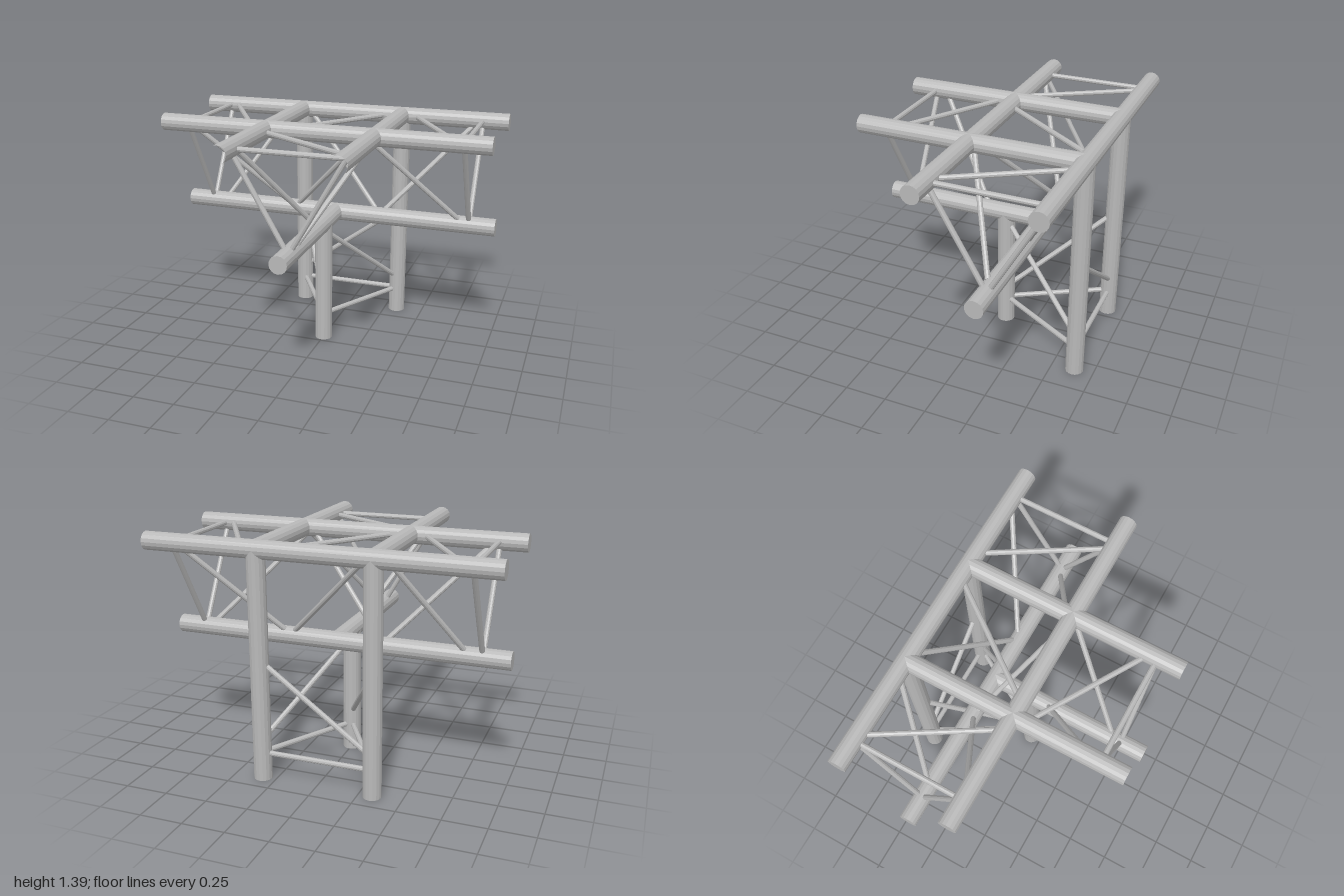
import * as THREE from 'three';

const TUBE_R = 0.053, BRACE_R = 0.0155;
const TOP = 1.333, LOW = 0.762;            // heights of the upper and lower chords
const FRONT = 0.02, BACK = -0.636, MID = -0.306, SIDE = 0.33, LEG_FRONT = -0.065;

export function createModel() {
  const model = new THREE.Group();
  model.name = 'trussJunction';
  const metal = new THREE.MeshStandardMaterial({ color: 0xb8b8b8, flatShading: true });
  metal.name = 'brushed grey metal';
  const up = new THREE.Vector3(0, 1, 0);

  // Straight rod between two points
  function rod(name, a, b, radius, sides, open, parent) {
    const d = b.clone().sub(a);
    const mesh = new THREE.Mesh(new THREE.CylinderGeometry(radius, radius, d.length(), sides, 1, open), metal);
    mesh.position.copy(a).add(b).multiplyScalar(0.5);
    mesh.quaternion.setFromUnitVectors(up, d.normalize());
    mesh.name = name;
    parent.add(mesh);
  }
  function group(name) {
    const g = new THREE.Group();
    g.name = name;
    model.add(g);
    return g;
  }

  // Chord lines: each maps a position along its axis to a point
  const along = {
    x: (y, z) => s => new THREE.Vector3(s, y, z),
    y: (x, z) => s => new THREE.Vector3(x, s, z),
    z: (x, y) => s => new THREE.Vector3(x, y, s),
  };
  const xFront = along.x(TOP, FRONT), xBack = along.x(TOP, BACK), xLow = along.x(LOW, MID);
  const zLeft = along.z(SIDE, TOP), zRight = along.z(-SIDE, TOP), zLow = along.z(0, LOW);
  const legLeft = along.y(SIDE, BACK), legRight = along.y(-SIDE, BACK), legFront = along.y(0, LEG_FRONT);

  // Main tubes
  const tubes = group('mainTubes');
  const tube = (name, c, s0, s1, open = false) => rod(name, c(s0), c(s1), TUBE_R, 16, open, tubes);
  tube('upperFrontCrossTube', xFront, -1, 1);
  tube('upperBackCrossTube', xBack, -1, 1);
  tube('lowerCrossTube', xLow, -1, 1);
  tube('upperLeftArmTube', zLeft, BACK, 0.69, true);
  tube('upperRightArmTube', zRight, BACK, 0.69, true);
  tube('lowerArmTube', zLow, MID, 0.69);
  tube('leftLeg', legLeft, 0, TOP);
  tube('rightLeg', legRight, 0, TOP);
  tube('frontLeg', legFront, 0, LOW);

  // Diagonal between two chords, stopping at the tube walls
  function diagonal(parent, cA, sA, cB, sB) {
    const across = cB(0).sub(cA(0)).normalize().multiplyScalar(0.046);
    rod('diagonalBrace', cA(sA).add(across), cB(sB).sub(across), BRACE_R, 10, false, parent);
  }
  // Triangle of straight braces joining three chords
  function frame(parent, chords, s) {
    chords.forEach((c, i) => rod('straightBrace', c(s), chords[(i + 1) % 3](s), BRACE_R, 10, false, parent));
  }

  const cross = [xFront, xBack, xLow];
  const left = group('leftArmBraces');
  frame(left, cross, 0.84);
  diagonal(left, xFront, 0.315, xLow, 0.775);
  diagonal(left, xBack, 0.775, xLow, 0.315);
  diagonal(left, xBack, 0.44, xFront, 0.78);

  const right = group('rightArmBraces');
  frame(right, cross, -0.84);
  diagonal(right, xFront, -0.78, xLow, -0.3);
  diagonal(right, xBack, -0.43, xLow, -0.74);
  diagonal(right, xBack, -0.78, xFront, -0.44);

  const middle = group('centreBraces');
  diagonal(middle, xFront, 0.24, xLow, -0.24);
  diagonal(middle, xBack, -0.25, xLow, 0.25);
  diagonal(middle, xBack, 0.21, xFront, -0.21);

  const front = group('frontArmBraces');
  frame(front, [zLeft, zRight, zLow], 0.535);
  diagonal(front, zLeft, 0.06, zLow, 0.46);
  diagonal(front, zRight, 0.45, zLow, 0.07);
  diagonal(front, zRight, 0.12, zLeft, 0.46);

  const legs = group('legBraces');
  frame(legs, [legLeft, legRight, legFront], 0.158);
  diagonal(legs, legFront, 0.68, legLeft, 0.265);
  diagonal(legs, legFront, 0.265, legRight, 0.68);
  diagonal(legs, legLeft, 0.68, legRight, 0.265);

  return model;
}
